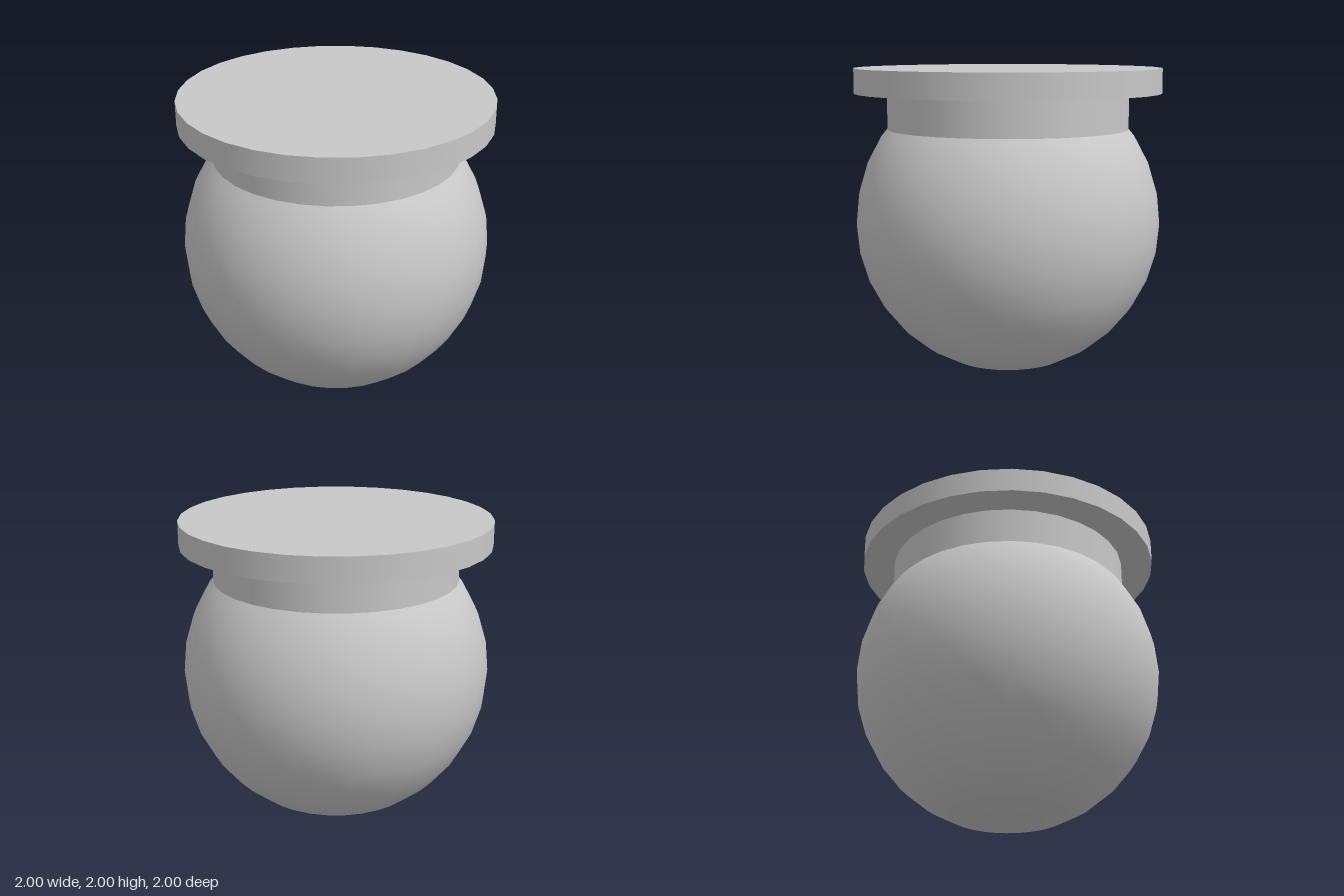
import * as THREE from 'three';

export function createModel() {
  const group = new THREE.Group();
  const grey = new THREE.MeshStandardMaterial({ color: 0xc8c8c8 });
  grey.name = 'light grey';

  const add = (name, geometry, y) => {
    const mesh = new THREE.Mesh(geometry, grey);
    mesh.name = name;
    mesh.position.y = y;
    group.add(mesh);
  };

  // Round body, its open top hidden inside the neck
  add('body', new THREE.SphereGeometry(1, 32, 12, 0, Math.PI * 2, Math.PI / 4, Math.PI * 0.75), 1);

  // Straight neck, sunk slightly into the body
  add('neck', new THREE.CylinderGeometry(0.79, 0.79, 0.3, 32, 1, true), 1.7);

  // Flat disc lid, as wide as the body
  add('lid', new THREE.CylinderGeometry(1, 1, 0.16, 32), 1.92);

  return group;
}
